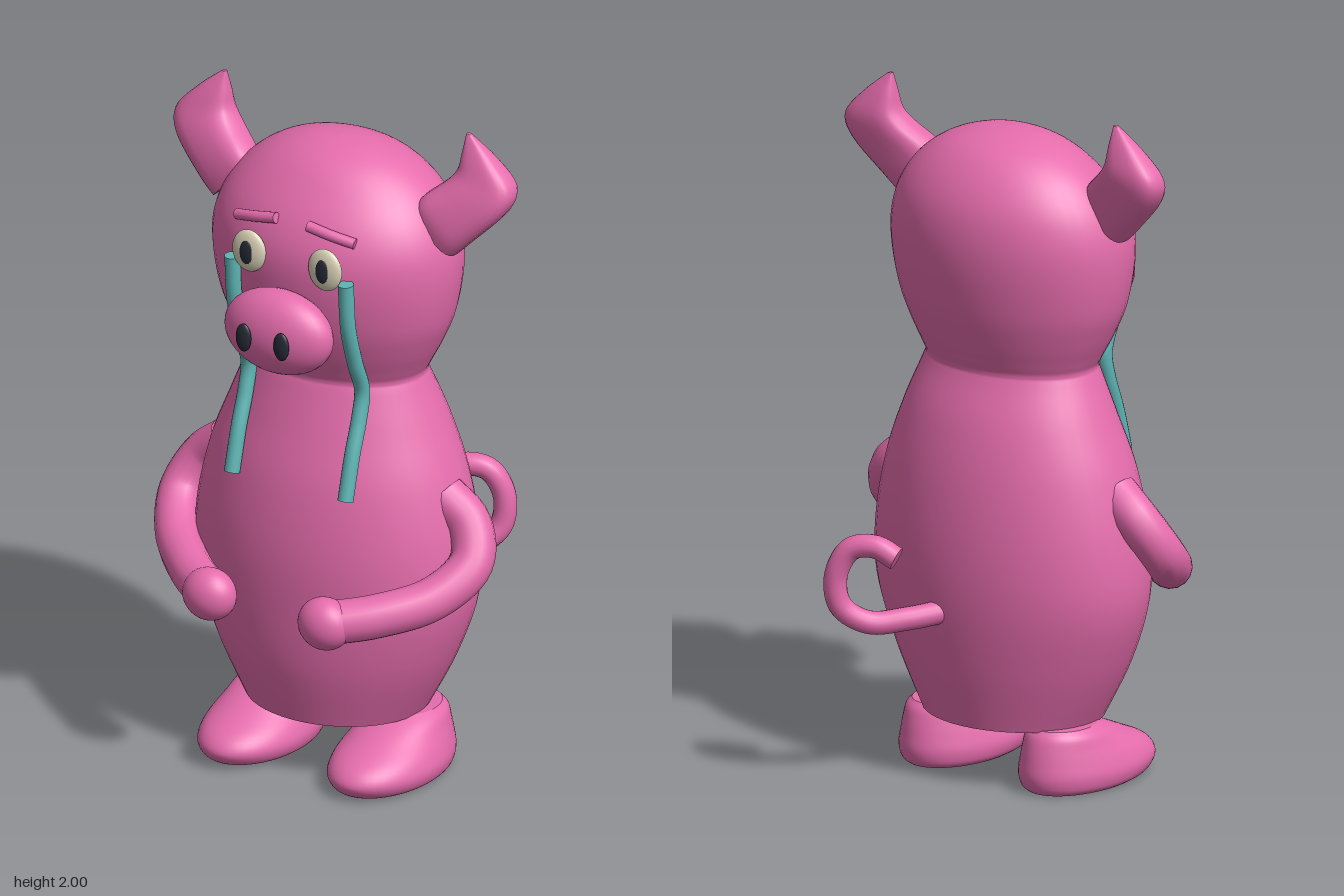
import * as THREE from 'three';
import { mergeGeometries } from 'three/addons/utils/BufferGeometryUtils.js';

const mat = (name, color) => Object.assign(new THREE.MeshStandardMaterial({ color }), { name });

// Smoothly interpolate the columns of a table of cross-sections
function refine(rows, steps) {
  const curves = rows[0].map((_, c) => new THREE.SplineCurve(rows.map((r, i) => new THREE.Vector2(i, r[c]))));
  return Array.from({ length: steps + 1 }, (_, i) => curves.map((c) => c.getPoint(i / steps).y));
}

// Skin closed rings, with flat caps at both ends; at(row, angle) gives a corner
function loft(rows, sides, at) {
  const pos = [], index = [], last = rows.length - 1;
  const ring = (r) => {
    const start = pos.length / 3;
    for (let j = 0; j < sides; j++) pos.push(...at(r, (j / sides) * Math.PI * 2));
    return start;
  };
  rows.forEach(ring);
  for (let i = 0; i < last; i++) {
    for (let j = 0; j < sides; j++) {
      const a = i * sides + j, d = i * sides + ((j + 1) % sides);
      index.push(a, a + sides, d + sides, a, d + sides, d);
    }
  }
  const lo = ring(rows[0]), hi = ring(rows[last]);
  for (let j = 1; j < sides - 1; j++) {
    index.push(lo, lo + j, lo + j + 1, hi, hi + j + 1, hi + j);
  }
  const g = new THREE.BufferGeometry();
  g.setAttribute('position', new THREE.Float32BufferAttribute(pos, 3));
  g.setIndex(index);
  g.computeVertexNormals();
  return g;
}

// Upright loft from rows of [y, half width, z back, z front]
const upright = (rows, steps, cx = 0) => loft(refine(rows, steps), 48, ([y, w, b, f], a) =>
  [cx + w * Math.cos(a), y, (f + b) / 2 + ((f - b) / 2) * Math.sin(a)]);

// Round tube through points, closed with discs
function tube(points, radius, steps = 36) {
  const curve = new THREE.CatmullRomCurve3(points.map((p) => new THREE.Vector3(...p)));
  const parts = [new THREE.TubeGeometry(curve, steps, radius, 16)];
  for (const t of [0, 1]) {
    const p = curve.getPoint(t);
    const dir = curve.getTangent(t).multiplyScalar(t ? 1 : -1);
    const q = new THREE.Quaternion().setFromUnitVectors(new THREE.Vector3(0, 0, 1), dir);
    parts.push(new THREE.CircleGeometry(radius, 16).applyQuaternion(q).translate(p.x, p.y, p.z));
  }
  return mergeGeometries(parts);
}

const ellipsoid = (x, y, z, rx, ry, rz) =>
  new THREE.SphereGeometry(1, 32, 20).scale(rx, ry, rz).translate(x, y, z);

// Ear sections: inner x, y, outer x, y, z centre, half thickness
const EAR = [
  [0.27, 1.77, 0.4, 1.64, 0.05, 0.056],
  [0.3, 1.808, 0.445, 1.685, 0.043, 0.065],
  [0.352, 1.852, 0.54, 1.785, 0.018, 0.064],
  [0.382, 1.89, 0.56, 1.86, 0.003, 0.054],
  [0.392, 1.94, 0.495, 1.935, 0, 0.034],
  [0.402, 2, 0.418, 1.998, 0, 0.006],
];

export function createModel() {
  const model = new THREE.Group();
  const pink = mat('pink skin', 0xe66dad);
  const teal = mat('teal tears', 0x5fb4b4);
  const cream = mat('cream eyes', 0xdbd3b9);
  const dark = mat('dark pupils', 0x262a36);
  const add = (name, geometry, material = pink) => {
    const mesh = new THREE.Mesh(geometry, material);
    mesh.name = name;
    model.add(mesh);
  };

  // Torso and head in one smooth skin, narrowing at the neck
  add('bodyAndHead', upright([
    [0.18, 0.275, -0.19, 0.285], [0.36, 0.37, -0.23, 0.33], [0.55, 0.435, -0.257, 0.348],
    [0.73, 0.435, -0.262, 0.35], [0.92, 0.395, -0.245, 0.325], [1.08, 0.335, -0.21, 0.28],
    [1.2, 0.285, -0.163, 0.243], [1.23, 0.275, -0.155, 0.235], [1.26, 0.288, -0.165, 0.246],
    [1.33, 0.325, -0.19, 0.276], [1.42, 0.362, -0.215, 0.305],
    [1.54, 0.383, -0.235, 0.325], [1.64, 0.38, -0.238, 0.323], [1.73, 0.347, -0.222, 0.29],
    [1.81, 0.285, -0.18, 0.232], [1.87, 0.2, -0.12, 0.17], [1.905, 0.1, -0.04, 0.1],
    [1.915, 0.005, 0.025, 0.035],
  ], 102));

  // Snout
  add('snout', ellipsoid(0, 1.425, 0.363, 0.175, 0.127, 0.088));

  // Paired parts
  for (const s of [1, -1]) {
    const side = s > 0 ? 'left' : 'right';
    const path = (points) => points.map(([x, y, z]) => [s * x, y, z]);

    add(side + 'Ear', loft(refine(EAR, 25), 24, ([x0, y0, x1, y1, z, t], a) => {
      const c = Math.cos(a), n = Math.sin(s * a);
      const u = 0.5 + 0.5 * Math.sign(c) * Math.abs(c) ** 0.7;
      return [s * (x0 + (x1 - x0) * u), y0 + (y1 - y0) * u, z + t * Math.sign(n) * Math.abs(n) ** 0.7];
    }));

    add(side + 'Arm', tube(path([
      [0.36, 0.885, 0.058], [0.445, 0.815, 0.057], [0.485, 0.72, 0.11],
      [0.43, 0.64, 0.22], [0.31, 0.6, 0.34], [0.2, 0.583, 0.42],
    ]), 0.064));
    add(side + 'Hand', ellipsoid(s * 0.193, 0.583, 0.427, 0.082, 0.078, 0.066));

    add(side + 'Foot', upright([
      [0, 0.125, -0.115, 0.3], [0.015, 0.143, -0.133, 0.335], [0.05, 0.152, -0.142, 0.356],
      [0.09, 0.142, -0.138, 0.325], [0.13, 0.124, -0.13, 0.24], [0.165, 0.108, -0.118, 0.16],
      [0.185, 0.085, -0.1, 0.11],
    ], 24, s * 0.217));

    // Face details
    add(side + 'Nostril', ellipsoid(s * 0.063, 1.424, 0.453, 0.025, 0.043, 0.012), dark);
    add(side + 'Eye', ellipsoid(s * 0.127, 1.629, 0.32, 0.055, 0.064, 0.021), cream);
    add(side + 'Pupil', ellipsoid(s * 0.127, 1.629, 0.337, 0.022, 0.036, 0.007), dark);
    add(side + 'Brow', tube(path([
      [0.053, 1.738, 0.293], [0.125, 1.724, 0.288], [0.197, 1.708, 0.272],
    ]), 0.016, 10));
    add(side + 'Tear', tube(path([
      [0.19, 1.595, 0.31], [0.19, 1.45, 0.297], [0.19, 1.33, 0.26], [0.19, 1.23, 0.222],
      [0.19, 1.15, 0.238], [0.19, 1.05, 0.275], [0.19, 0.92, 0.312],
    ]), 0.023), teal);
  }

  // Curled tail
  add('tail', tube([
    [0.03, 0.525, -0.22], [0.1, 0.51, -0.31], [0.175, 0.505, -0.395], [0.232, 0.555, -0.45],
    [0.24, 0.65, -0.462], [0.2, 0.73, -0.443], [0.135, 0.742, -0.415], [0.075, 0.712, -0.393],
  ], 0.034, 48));

  return model;
}
